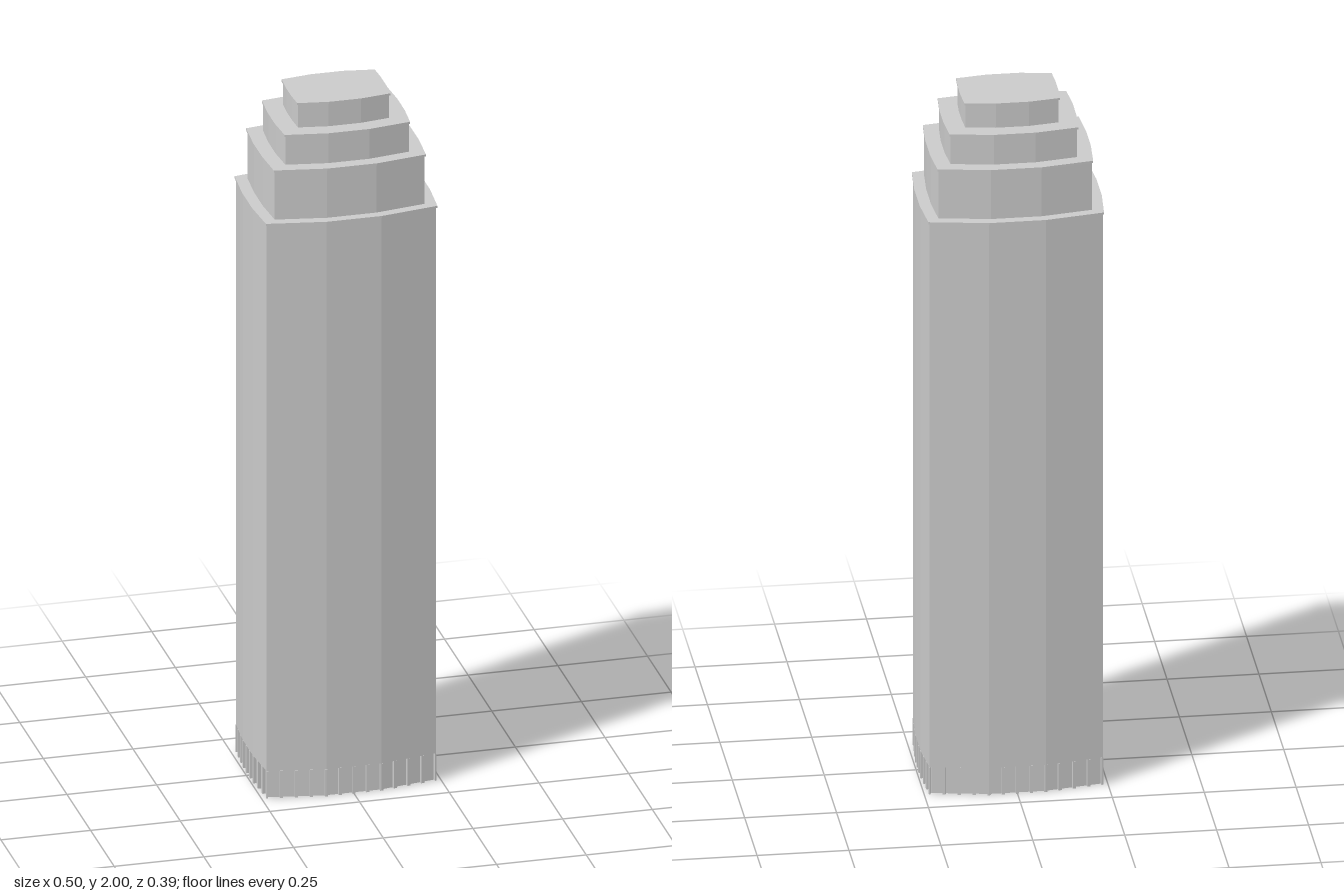
import * as THREE from 'three';

// Bowed rectangular floor plan, counter-clockwise: three straight bays per side
function plan(cx, cz, mx, mz, ix, iz, inset = 0) {
  const a = cx - inset, b = cz - inset, x = mx - inset, z = mz - inset;
  return [
    [a, -b], [x, -iz], [x, iz], [a, b], [ix, z], [-ix, z],
    [-a, b], [-x, iz], [-x, -iz], [-a, -b], [-ix, -z], [ix, -z],
  ].map(([u, v]) => new THREE.Vector2(u, v));
}

// Upright prism from a plan outline, with an optional hole
function prism(name, points, y0, y1, material, hole) {
  const shape = new THREE.Shape(points);
  if (hole) shape.holes.push(new THREE.Path(hole));
  const geo = new THREE.ExtrudeGeometry(shape, { depth: y1 - y0, bevelEnabled: false });
  geo.rotateX(-Math.PI / 2);
  geo.translate(0, y0, 0);
  const mesh = new THREE.Mesh(geo, material);
  mesh.name = name;
  return mesh;
}

// Outline with evenly spaced shallow recesses, leaving narrow piers between
function recessed(points, depth) {
  const out = [];
  points.forEach((p, i) => {
    const q = points[(i + 1) % points.length];
    const dir = q.clone().sub(p);
    const count = Math.round(dir.length() / 0.038);
    const inward = new THREE.Vector2(-dir.y, dir.x).normalize().multiplyScalar(depth);
    out.push(p.clone());
    for (let k = 0; k < count; k++) {
      const s = p.clone().addScaledVector(dir, (k + 0.11) / count);
      const e = p.clone().addScaledVector(dir, (k + 0.89) / count);
      out.push(s, s.clone().add(inward), e.clone().add(inward), e);
    }
  });
  return out;
}

export function createModel() {
  const group = new THREE.Group();
  group.name = 'steppedTower';
  const stone = new THREE.MeshStandardMaterial({ color: 0xcccccc });
  stone.name = 'paleGrey';

  // Corner x, corner z, middle x, middle z, bay x, bay z, bottom, top
  const tiers = [
    ['mainShaft', 0.239, 0.166, 0.248, 0.194, 0.077, 0.053, 0.08, 1.692],
    ['lowerSetback', 0.212, 0.147, 0.219, 0.171, 0.069, 0.047, 1.692, 1.838],
    ['middleSetback', 0.175, 0.12, 0.181, 0.139, 0.057, 0.039, 1.838, 1.927],
    ['crown', 0.13, 0.083, 0.133, 0.096, 0.045, 0.028, 1.927, 2],
  ];
  const lip = 0.006;
  for (const [name, cx, cz, mx, mz, ix, iz, y0, y1] of tiers) {
    const dims = [cx, cz, mx, mz, ix, iz];
    group.add(prism(name, plan(...dims, 0.003), y0, y1 - lip, stone));
    group.add(prism(name + 'Cornice', plan(...dims), y1 - lip, y1, stone));
  }

  // Hollow ground storey with a row of recessed bays
  const base = tiers[0].slice(1, 7);
  group.add(prism('groundArcade', recessed(plan(...base, 0.002), 0.009), 0, 0.08, stone,
    plan(...base, 0.016)));
  return group;
}
